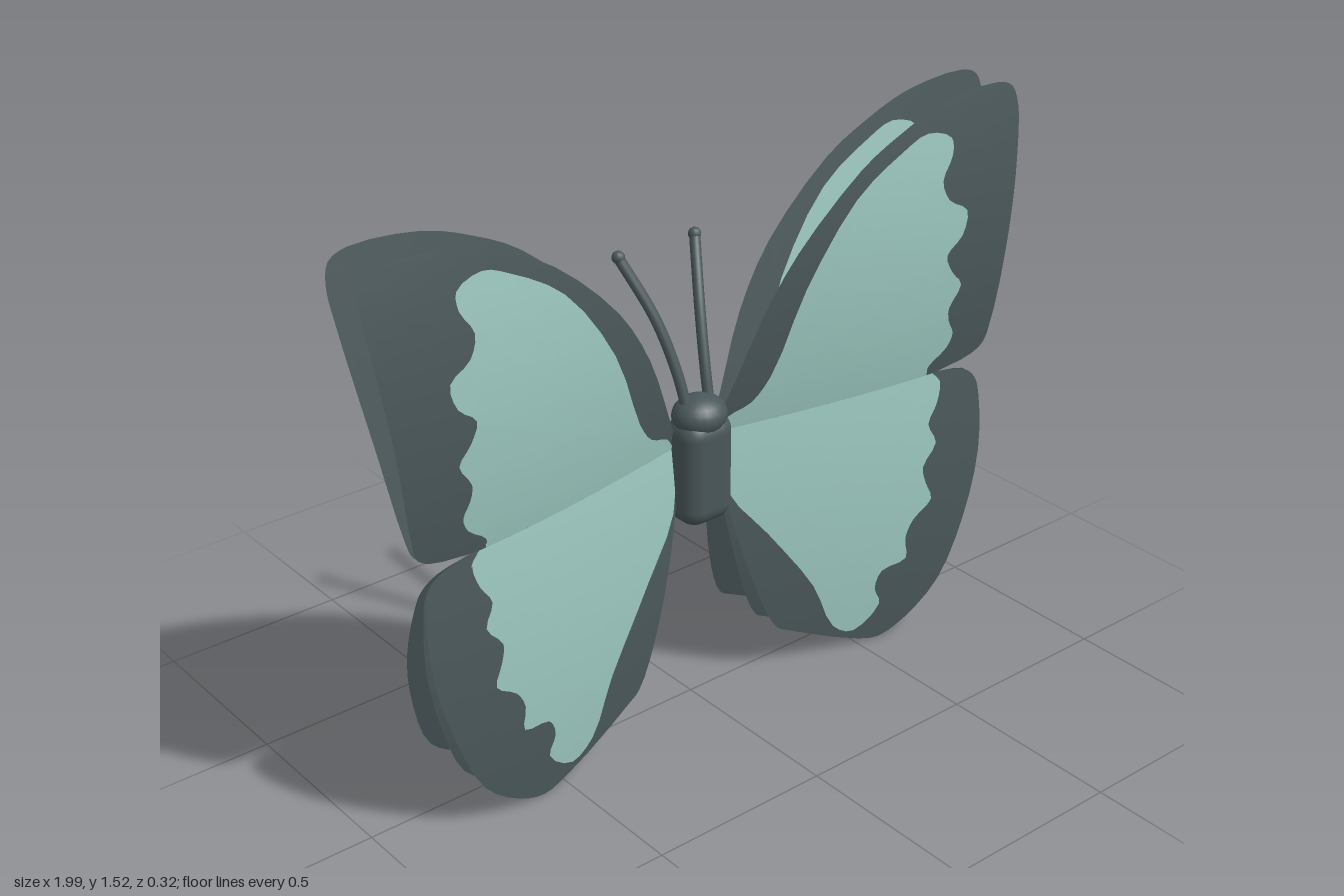
import * as THREE from 'three';
import { mergeVertices } from 'three/addons/utils/BufferGeometryUtils.js';
import { RoundedBoxGeometry } from 'three/addons/geometries/RoundedBoxGeometry.js';

const HINGE = 0.77; // height where fore and hind wings meet

// Outlines of the left wing, from the root around the free edge back to the hinge
const foreOutline = [[0.05, 0.77], [0.096, 0.87], [0.176, 1.06], [0.28, 1.22], [0.47, 1.395], [0.6, 1.465],
  [0.74, 1.515], [0.93, 1.53], [0.982, 1.51], [0.997, 1.46], [0.99, 1.37], [0.95, 1.08], [0.917, 0.85],
  [0.905, 0.815], [0.866, 0.79], [0.75, 0.77]];
const hindOutline = [[0.75, 0.77], [0.845, 0.75], [0.883, 0.715], [0.895, 0.66], [0.893, 0.5], [0.845, 0.31],
  [0.765, 0.134], [0.658, 0.043], [0.572, 0.01], [0.497, 0.027], [0.27, 0.13], [0.235, 0.15], [0.176, 0.267],
  [0.086, 0.567], [0.05, 0.77]];
const forePatch = [[0.07, 0.77], [0.1, 0.81], [0.16, 0.835], [0.21, 0.9], [0.3, 1.12], [0.45, 1.325], [0.6, 1.42],
  [0.68, 1.45], [0.755, 1.425], [0.755, 1.38], [0.72, 1.32], [0.74, 1.265], [0.8, 1.225], [0.785, 1.16],
  [0.735, 1.115], [0.755, 1.065], [0.79, 1.02], [0.755, 0.96], [0.76, 0.92], [0.78, 0.88], [0.765, 0.84],
  [0.71, 0.795], [0.71, 0.77]];
const hindPatch = [[0.73, 0.77], [0.755, 0.74], [0.74, 0.68], [0.71, 0.63], [0.735, 0.57], [0.69, 0.51],
  [0.7, 0.46], [0.72, 0.405], [0.66, 0.36], [0.635, 0.31], [0.64, 0.245], [0.56, 0.23], [0.54, 0.18],
  [0.56, 0.125], [0.48, 0.062], [0.41, 0.1], [0.34, 0.25], [0.2, 0.45], [0.09, 0.6], [0.07, 0.77]];

// Bowed hinge line shared by all layers
const hingeZ = (x) => 0.13 * Math.sin(Math.abs(x) * 1.65);

// Depth of each layer away from the hinge: d is the height above or below it
const foreLayers = [
  { name: 'frontForewing', lean: (d) => 0.16 * d - 0.25 * d * d },
  { name: 'rearForewing', lean: (d) => -0.2 * d },
];
const hindLayers = [
  { name: 'frontHindwing', lean: (d) => 0.14 * d - 0.15 * d * d },
  { name: 'middleHindwing', lean: (d) => 0.05 * d - 0.23 * d * d },
  { name: 'rearHindwing', lean: (d) => -0.31 * d - 0.03 * d * d },
];

// Splits the longest edge until no edge is longer than the limit
function split(a, b, c, out) {
  const ab = a.distanceTo(b), bc = b.distanceTo(c), ca = c.distanceTo(a);
  const longest = Math.max(ab, bc, ca);
  if (longest < 0.09) {
    out.push(a, b, c);
  } else if (longest === ab) {
    const m = a.clone().add(b).multiplyScalar(0.5);
    split(a, m, c, out);
    split(m, b, c, out);
  } else if (longest === bc) {
    split(b, c, a, out);
  } else {
    split(c, a, b, out);
  }
}

// Curved sheet: a smooth outline filled with small triangles and pushed into depth
function sheet(points, side, lean, offset) {
  const curve = new THREE.CatmullRomCurve3(points.map(([x, y]) => new THREE.Vector3(x * side, y, 0)), false, 'centripetal');
  const outline = curve.getPoints((points.length - 1) * 3).map((p) => new THREE.Vector2(p.x, p.y));
  const flat = new THREE.ShapeGeometry(new THREE.Shape(outline));
  const pos = flat.attributes.position;
  const corner = (i) => new THREE.Vector3().fromBufferAttribute(pos, flat.index.getX(i));
  const verts = [];
  for (let i = 0; i < flat.index.count; i += 3) split(corner(i), corner(i + 1), corner(i + 2), verts);
  for (const v of verts) v.z = hingeZ(v.x) + lean(Math.abs(v.y - HINGE)) + offset;
  const geometry = mergeVertices(new THREE.BufferGeometry().setFromPoints(verts), 1e-5);
  geometry.computeVertexNormals();
  return geometry;
}

export function createModel() {
  const model = new THREE.Group();
  model.name = 'butterfly';
  const material = (name, color, side = THREE.FrontSide) => {
    const m = new THREE.MeshStandardMaterial({ color, side });
    m.name = name;
    return m;
  };
  const dark = material('darkSlate', 0x4a575a, THREE.DoubleSide);
  const light = material('paleTeal', 0x9ac5bd, THREE.DoubleSide);

  const add = (parent, name, geometry, mat, x = 0, y = 0, z = 0) => {
    const mesh = new THREE.Mesh(geometry, mat);
    mesh.name = name;
    mesh.position.set(x, y, z);
    parent.add(mesh);
    return mesh;
  };

  // Wing layers: dark sheet with a pale patch on both faces
  const addWing = (side, layer, outline, patch) => {
    const wing = new THREE.Group();
    wing.name = (side > 0 ? 'left ' : 'right ') + layer.name;
    add(wing, 'wingSheet', sheet(outline, side, layer.lean, 0), dark);
    add(wing, 'frontPatch', sheet(patch, side, layer.lean, 0.003), light);
    add(wing, 'backPatch', sheet(patch, side, layer.lean, -0.003), light);
    model.add(wing);
  };

  for (const side of [1, -1]) {
    for (const layer of foreLayers) addWing(side, layer, foreOutline, forePatch);
    for (const layer of hindLayers) addWing(side, layer, hindOutline, hindPatch);

    // Antenna: curved stalk with a rounded tip
    const path = new THREE.CatmullRomCurve3([[0.035, 0.87, 0.03], [0.045, 0.97, 0], [0.07, 1.1, -0.05],
      [0.12, 1.25, -0.13]].map(([x, y, z]) => new THREE.Vector3(x * side, y, z)));
    const antenna = new THREE.Group();
    antenna.name = side > 0 ? 'leftAntenna' : 'rightAntenna';
    add(antenna, 'stalk', new THREE.TubeGeometry(path, 20, 0.014, 10), dark);
    add(antenna, 'tip', new THREE.SphereGeometry(0.017, 12, 8), dark, 0.12 * side, 1.25, -0.13);
    model.add(antenna);
  }

  // Body
  add(model, 'body', new RoundedBoxGeometry(0.155, 0.3, 0.125, 5, 0.05), dark, 0, 0.705, 0.035);
  const head = add(model, 'head', new THREE.SphereGeometry(0.074, 20, 14), dark, 0, 0.85, 0.035);
  head.scale.set(1, 0.72, 0.9);

  return model;
}
